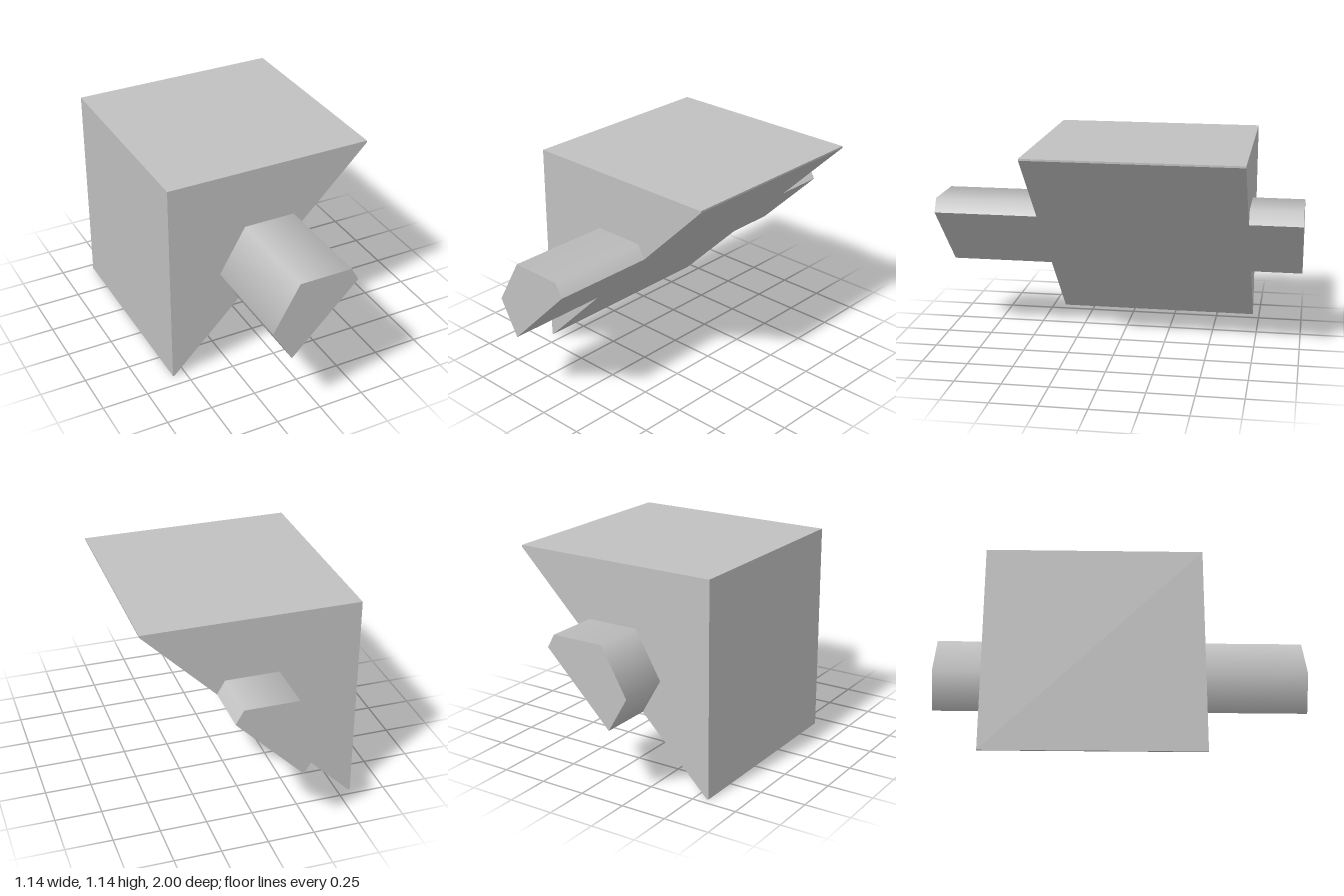
import * as THREE from 'three';

const grey = new THREE.MeshStandardMaterial({ color: 0xc0c0c0 });
grey.name = 'plainGrey';

const AXIS_Y = 0.571; // height of the hexagonal shaft's axis

// Extrudes an x/y outline between two depths
function prism(name, points, zBack, zFront) {
  const shape = new THREE.Shape(points.map(([x, y]) => new THREE.Vector2(x, y)));
  const geometry = new THREE.ExtrudeGeometry(shape, { depth: zFront - zBack, bevelEnabled: false });
  geometry.translate(0, 0, zBack);
  const mesh = new THREE.Mesh(geometry, grey);
  mesh.name = name;
  return mesh;
}

// Smooths the sides around the shaft axis, leaving the ends and the sloped cut flat
function smoothSides(mesh) {
  const { position: p, normal: n } = mesh.geometry.attributes;
  for (let i = 0; i < p.count; i++) {
    const isEnd = Math.abs(n.getZ(i)) > 0.9;
    const isCut = (n.getX(i) - n.getY(i)) * Math.SQRT1_2 > 0.99;
    if (isEnd || isCut) continue;
    const x = p.getX(i), y = p.getY(i) - AXIS_Y, length = Math.hypot(x, y);
    n.setXYZ(i, x / length, y / length, 0);
  }
  return mesh;
}

export function createModel() {
  const model = new THREE.Group();
  model.name = 'slopedBlockWithShaft';

  // Cube sliced just below its diagonal
  const block = [[-0.571, 0], [-0.562, 0], [0.571, 1.133], [0.571, 1.143], [-0.571, 1.143]];
  model.add(prism('wedgeBlock', block, -0.714, 0.429));

  // Hexagonal shaft sliced by the same slope, standing out at both ends
  const hexagon = [[-0.178, 0.384], [0.184, 0.746], [0.143, 0.819], [-0.143, 0.819], [-0.286, AXIS_Y]];
  model.add(smoothSides(prism('frontShaft', hexagon, 0.429, 1)));
  model.add(smoothSides(prism('backShaft', hexagon, -1, -0.714)));

  return model;
}
